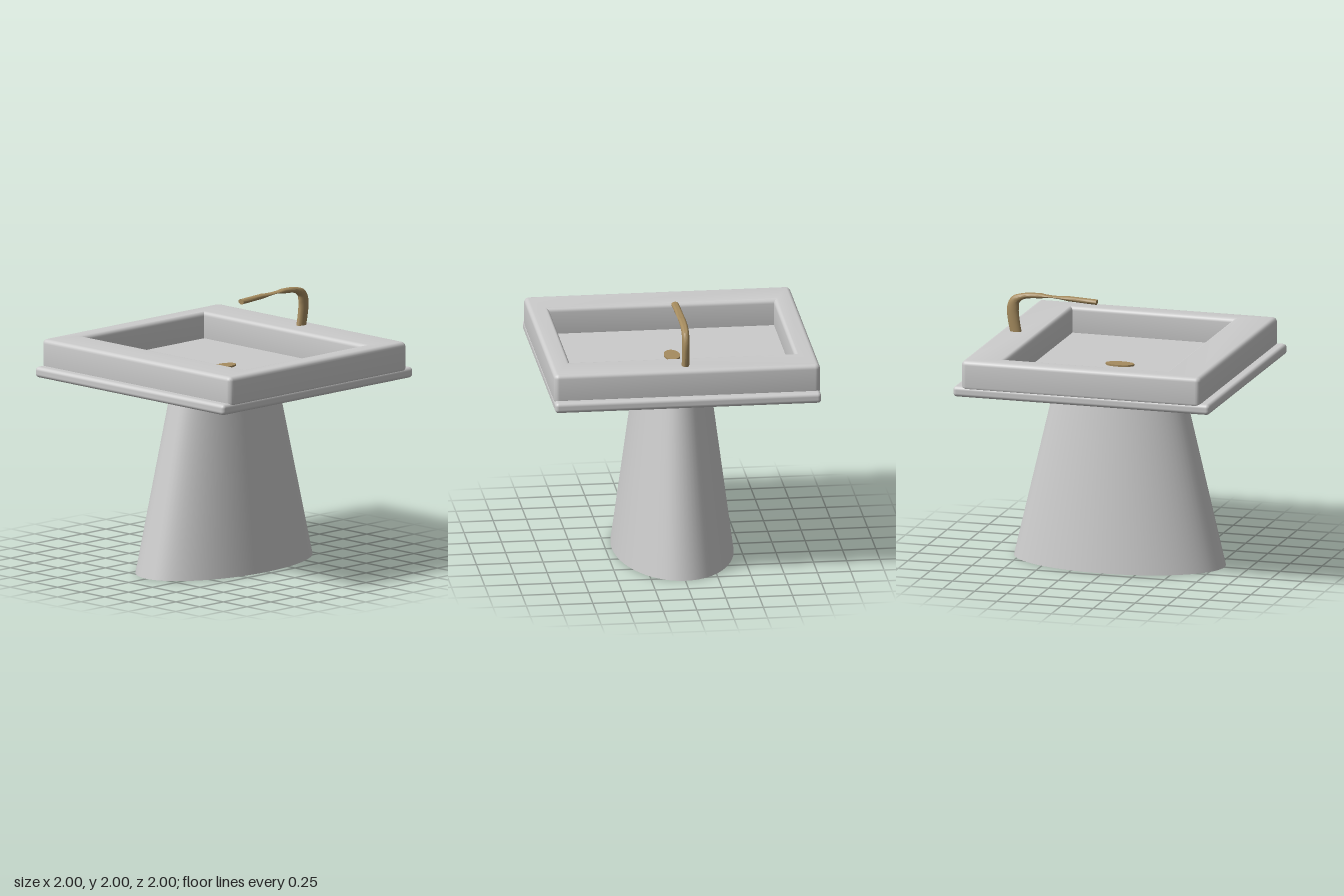
import * as THREE from 'three';
import { toCreasedNormals } from 'three/addons/utils/BufferGeometryUtils.js';
import { RoundedBoxGeometry } from 'three/addons/geometries/RoundedBoxGeometry.js';

const ceramic = new THREE.MeshStandardMaterial({ color: 0xcccccc });
const brass = new THREE.MeshStandardMaterial({ color: 0xa68c5f });

function part(group, name, geometry, material, y = 0, z = 0) {
  const mesh = new THREE.Mesh(geometry, material);
  mesh.name = name;
  mesh.position.set(0, y, z);
  group.add(mesh);
  return mesh;
}

// Rectangle with softened corners; z is the second axis
function roundedRect(w, h, r) {
  const s = new THREE.Shape();
  s.moveTo(-w + r, -h);
  s.absarc(w - r, -h + r, r, -Math.PI / 2, 0);
  s.absarc(w - r, h - r, r, 0, Math.PI / 2);
  s.absarc(-w + r, h - r, r, Math.PI / 2, Math.PI);
  s.absarc(-w + r, -h + r, r, Math.PI, Math.PI * 1.5);
  return s;
}

// Rim frame with a mitred, sharp-cornered opening and rounded edges
function rimGeometry() {
  const bevel = 0.033, height = 0.23;
  const shape = roundedRect(1, 0.932, 0.04);
  const hole = new THREE.Path();
  hole.moveTo(-0.843, -0.625);
  hole.lineTo(-0.843, 0.625);
  hole.lineTo(0.843, 0.625);
  hole.lineTo(0.843, -0.625);
  hole.closePath();
  shape.holes.push(hole);
  const geo = new THREE.ExtrudeGeometry(shape, {
    depth: height - 2 * bevel, bevelThickness: bevel, bevelSize: bevel,
    bevelOffset: -bevel, bevelSegments: 5, curveSegments: 6,
  });
  geo.translate(0, 0, bevel);
  geo.rotateX(-Math.PI / 2);
  return toCreasedNormals(geo, 0.6);
}

// Spout: oval sections swept along a bent path in the yz plane
function spoutGeometry() {
  // z, y, half thickness, half width
  const stations = [
    [-0.81, 1.685, 0.043, 0.028], [-0.828, 1.78, 0.045, 0.028],
    [-0.835, 1.87, 0.046, 0.028], [-0.817, 1.932, 0.038, 0.028],
    [-0.755, 1.968, 0.023, 0.028], [-0.61, 1.981, 0.019, 0.028],
    [-0.4, 1.974, 0.019, 0.028], [-0.18, 1.963, 0.02, 0.028],
  ];
  const path = new THREE.CatmullRomCurve3(stations.map(([z, y]) => new THREE.Vector3(0, y, z)));
  const size = new THREE.CatmullRomCurve3(stations.map(([, , h, w]) => new THREE.Vector3(h, w, 0)));
  const rings = 42, sides = 20, pos = [], index = [];
  const ring = (t) => {
    const p = path.getPoint(t), d = path.getTangent(t), s = size.getPoint(t);
    for (let j = 0; j < sides; j++) {
      const a = (j / sides) * Math.PI * 2;
      const n = Math.sin(a) * s.x;
      pos.push(Math.cos(a) * s.y, p.y + d.z * n, p.z - d.y * n);
    }
  };
  for (let i = 0; i <= rings; i++) ring(i / rings);
  for (let i = 0; i < rings; i++) {
    for (let j = 0; j < sides; j++) {
      const a = i * sides + j, b = i * sides + (j + 1) % sides;
      index.push(a, b, b + sides, a, b + sides, a + sides);
    }
  }
  // Closed outlet
  const last = rings * sides;
  for (let j = 1; j < sides - 1; j++) index.push(last, last + j, last + j + 1);
  const geo = new THREE.BufferGeometry();
  geo.setAttribute('position', new THREE.Float32BufferAttribute(pos, 3));
  geo.setIndex(index);
  return toCreasedNormals(geo, 0.8);
}

export function createModel() {
  const model = new THREE.Group();
  model.name = 'pedestalSink';

  // Tapered oval foot, ending just under the slab
  const foot = new THREE.CylinderGeometry(0.49, 0.815, 1.365, 80);
  foot.scale(0.555, 1, 1);
  part(model, 'pedestal', foot, ceramic, 1.365 / 2);

  // Slab whose top is also the basin floor
  part(model, 'slab', new RoundedBoxGeometry(2, 0.08, 2, 4, 0.028), ceramic, 1.455);
  part(model, 'basinRim', rimGeometry(), ceramic, 1.465, -0.004);

  // Oval drain plate
  const drain = new THREE.CylinderGeometry(0.11, 0.11, 0.016, 40);
  drain.scale(0.55, 1, 1);
  part(model, 'drain', drain, brass, 1.5);

  part(model, 'faucet', spoutGeometry(), brass);
  return model;
}
